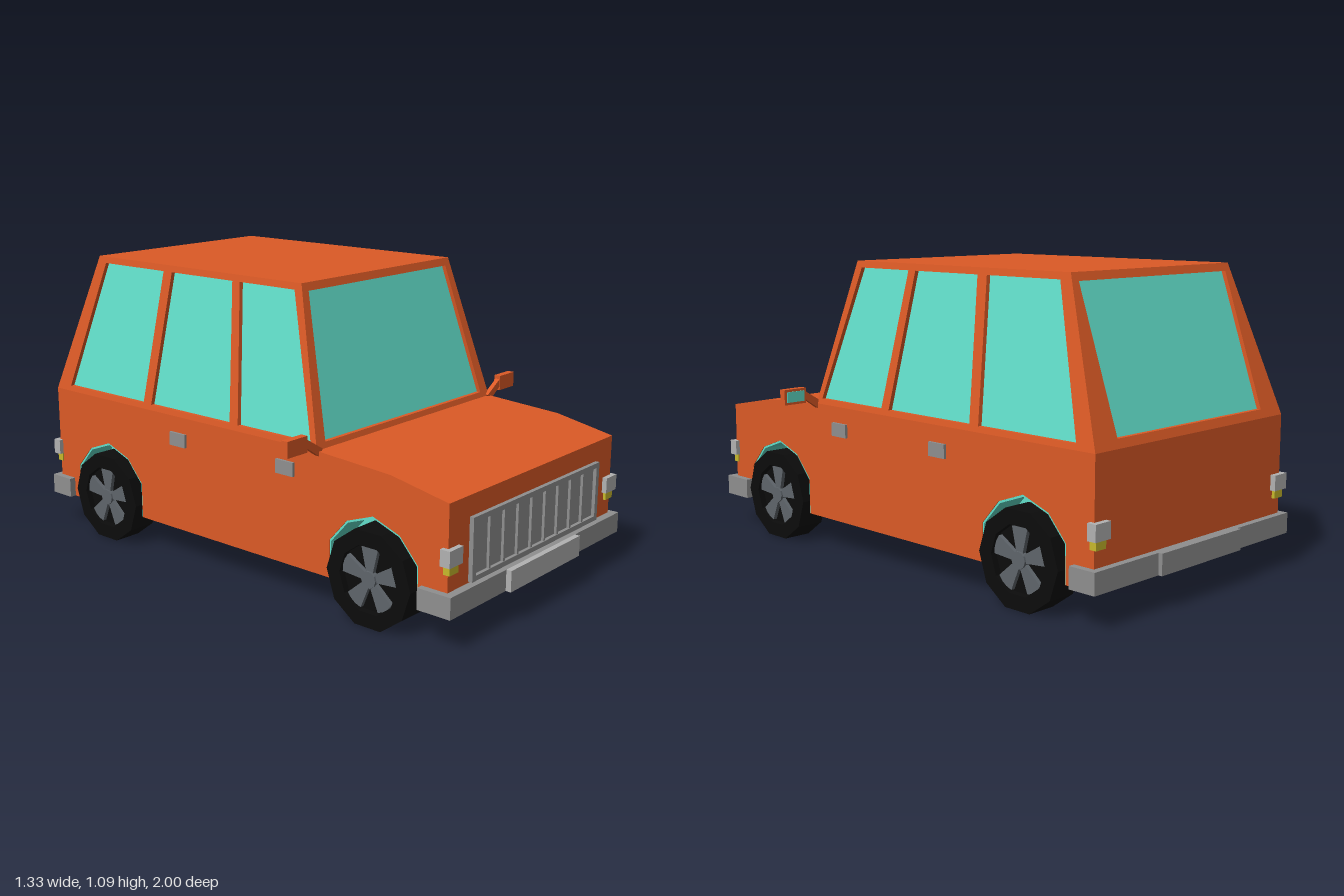
import * as THREE from 'three';

const mat = (color) => new THREE.MeshStandardMaterial({ color });
const paint = mat(0xdc5a26), glass = mat(0x62dfca), rubber = mat(0x0c0c0c);
const grey = mat(0x8f8f8f), light = mat(0xb2b2b2), amber = mat(0xc8b92c), alloy = mat(0x5f656b);

const BELT = 0.555, ROOF = 1.09, HALF = 0.51;

function add(parent, name, geometry, material) {
  const mesh = new THREE.Mesh(geometry, material);
  mesh.name = name;
  parent.add(mesh);
  return mesh;
}

function box(parent, name, material, [x0, x1], [y0, y1], [z0, z1]) {
  const g = new THREE.BoxGeometry(Math.abs(x1 - x0), y1 - y0, Math.abs(z1 - z0));
  g.translate((x0 + x1) / 2, (y0 + y1) / 2, (z0 + z1) / 2);
  return add(parent, name, g, material);
}

// Slab in the x-y plane, running from z = a to z = b
function slab(points, a, b, holes = []) {
  const toVec = (pts) => pts.map(([u, v]) => new THREE.Vector2(u, v));
  const shape = new THREE.Shape(toVec(points));
  shape.holes = holes.map((h) => new THREE.Path(toVec(h)));
  return new THREE.ExtrudeGeometry(shape, { depth: b - a, bevelEnabled: false }).translate(0, 0, a);
}

// Slab from [z, y] points, running from x = a to x = b
function sideSlab(points, a, b, holes = []) {
  const flip = (pts) => pts.map(([z, y]) => [-z, y]);
  return slab(flip(points), a, b, holes.map(flip)).rotateY(Math.PI / 2);
}

// Lean a wall inward with height above the belt line
function lean(g, axis, slope) {
  const p = g.attributes.position;
  for (let i = 0; i < p.count; i++) {
    p.setComponent(i, axis, p.getComponent(i, axis) - slope * (p.getY(i) - BELT));
  }
  g.computeVertexNormals();
  return g;
}

const archPoints = (zc, s = 1) =>
  [[-0.185, 0], [-0.185, 0.135], [-0.11, 0.22], [0, 0.26], [0.11, 0.22], [0.185, 0.135], [0.185, 0]]
    .map(([z, y]) => [zc + z * s, 0.12 + y * s]);

function makeWheel() {
  const wheel = new THREE.Group();
  const ring = (r, n) => Array.from({ length: n }, (_, i) =>
    [r * Math.cos(i * 2 * Math.PI / n), r * Math.sin(i * 2 * Math.PI / n)]);
  add(wheel, 'tyre', slab(ring(0.175, 10), -0.055, 0.055, [ring(0.12, 10)]), rubber);
  add(wheel, 'wheelDisc', slab(ring(0.122, 10), -0.05, 0.03), rubber);
  for (let i = 0; i < 5; i++) {
    const spoke = slab([[-0.013, 0.02], [0.013, 0.02], [0.034, 0.108], [0, 0.117], [-0.034, 0.108]], 0.03, 0.045);
    add(wheel, 'spoke', spoke.rotateZ(i * 2 * Math.PI / 5), alloy);
  }
  add(wheel, 'hub', slab(ring(0.03, 10), 0.03, 0.052), alloy);
  return wheel;
}

export function createModel() {
  const car = new THREE.Group();
  car.name = 'car';
  const axles = [0.65, -0.66];

  // Lower body with both wheel arches cut through its side outline
  add(car, 'body', sideSlab([
    [0.95, 0.12], [0.95, 0.49], [0.72, 0.535], [0.41, BELT], [-0.96, BELT], [-0.96, 0.12],
    ...archPoints(axles[1]), ...archPoints(axles[0]),
  ], -HALF, HALF), paint);

  // Wheel wells, floor between them, and wheels
  for (const z of axles) {
    add(car, 'wheelWell', sideSlab(archPoints(z), -0.39, 0.39), glass);
    box(car, 'floorPlate', paint, [-0.39, 0.39], [0.118, 0.13], [z - 0.187, z + 0.187]);
    for (const s of [-1, 1]) {
      const a = s > 0 ? 0.38 : -0.507;
      const rim = [...archPoints(z), ...archPoints(z, 0.97).reverse()];
      add(car, 'archLining', sideSlab(rim, a, a + 0.127), glass);
      const wheel = makeWheel();
      wheel.name = 'wheel';
      wheel.rotation.y = s * Math.PI / 2;
      wheel.position.set(s * 0.48, 0.1665, z);
      car.add(wheel);
    }
  }

  // Cabin sides, each with three windows
  const sideWindows = [
    [[0.38, 0.575], [0.04, 0.575], [-0.02, 1.066], [0.237, 1.066]],
    [[0, 0.575], [-0.41, 0.575], [-0.366, 1.066], [-0.056, 1.066]],
    [[-0.452, 0.575], [-0.88, 0.575], [-0.735, 1.066], [-0.41, 1.066]],
  ];
  const sideWall = [[0.41, BELT], [0.265, ROOF], [-0.775, ROOF], [-0.96, BELT]];
  const sideSlope = 0.09 / (ROOF - BELT);
  for (const s of [-1, 1]) {
    const frameX = s > 0 ? HALF - 0.025 : -HALF, glassX = s > 0 ? HALF - 0.024 : -HALF + 0.016;
    add(car, 'sideFrame', lean(sideSlab(sideWall, frameX, frameX + 0.025, sideWindows), 0, s * sideSlope), paint);
    for (const w of sideWindows) {
      add(car, 'sideWindow', lean(sideSlab(w, glassX, glassX + 0.008), 0, s * sideSlope), glass);
    }
  }

  // Windscreen and rear window walls
  const endWall = [[-HALF, BELT], [HALF, BELT], [0.42, ROOF], [-0.42, ROOF]];
  const screen = [[-0.46, 0.575], [0.46, 0.575], [0.393, 1.062], [-0.393, 1.062]];
  const rear = [[-0.393, 0.585], [0.393, 0.585], [0.393, 1.062], [-0.393, 1.062]];
  const frontSlope = 0.145 / (ROOF - BELT), rearSlope = -0.185 / (ROOF - BELT);
  add(car, 'windscreenFrame', lean(slab(endWall, 0.385, 0.41, [screen]), 2, frontSlope), paint);
  add(car, 'windscreen', lean(slab(screen, 0.386, 0.394), 2, frontSlope), glass);
  add(car, 'rearFrame', lean(slab(endWall, -0.96, -0.935, [rear]), 2, rearSlope), paint);
  add(car, 'rearWindow', lean(slab(rear, -0.944, -0.936), 2, rearSlope), glass);
  box(car, 'roof', paint, [-0.42, 0.42], [1.068, ROOF], [-0.775, 0.265]);

  // Wrap-around bumpers with a centre section
  for (const [name, s, inner, outer, tip] of [['front', 1, 0.95, 0.98, 0.85], ['rear', -1, 0.96, 0.985, 0.88]]) {
    const y = [0.12, 0.195];
    box(car, name + 'Bumper', grey, [-0.535, 0.535], y, [s * inner, s * outer]);
    for (const side of [-1, 1]) {
      box(car, name + 'BumperEnd', grey, [side * HALF, side * 0.535], y, [s * tip, s * inner]);
    }
    box(car, name + 'BumperCentre', s > 0 ? light : grey, [-0.22, 0.22], y, [s * outer, s]);
  }

  // Grille: frame, backing and upright fins
  const rect = (x, y0, y1) => [[-x, y0], [x, y0], [x, y1], [-x, y1]];
  add(car, 'grilleFrame', slab(rect(0.397, 0.2, 0.418), 0.945, 0.966, [rect(0.378, 0.218, 0.4)]), grey);
  box(car, 'grilleBack', grey, [-0.38, 0.38], [0.215, 0.402], [0.945, 0.953]);
  for (let i = 1; i < 9; i++) {
    const x = -0.378 + i * 0.084;
    box(car, 'grilleFin', grey, [x - 0.005, x + 0.005], [0.218, 0.4], [0.95, 0.963]);
  }

  // Lamps, door handles and mirrors on both sides
  for (const s of [-1, 1]) {
    const lampX = [s * 0.455, s * 0.527], signalX = [s * 0.467, s * 0.515];
    box(car, 'headlamp', light, lampX, [0.285, 0.342], [0.93, 0.968]);
    box(car, 'frontIndicator', amber, signalX, [0.255, 0.286], [0.935, 0.96]);
    box(car, 'tailLamp', light, lampX, [0.285, 0.342], [-0.945, -0.98]);
    box(car, 'rearIndicator', amber, signalX, [0.255, 0.286], [-0.945, -0.972]);
    for (const z of [0.27, -0.26]) {
      box(car, 'doorHandle', grey, [s * 0.505, s * 0.52], [0.445, 0.495], [z - 0.04, z + 0.04]);
    }
    const arm = [[0.49, 0.56], [0.51, 0.538], [0.575, 0.582], [0.575, 0.612]].map(([x, y]) => [s * x, y]);
    add(car, 'mirrorArm', slab(arm, 0.402, 0.42), paint);
    box(car, 'mirrorHousing', paint, [s * 0.57, s * 0.667], [0.565, 0.622], [0.395, 0.422]);
    box(car, 'mirrorGlass', glass, [s * 0.58, s * 0.657], [0.574, 0.613], [0.392, 0.396]);
  }
  return car;
}
